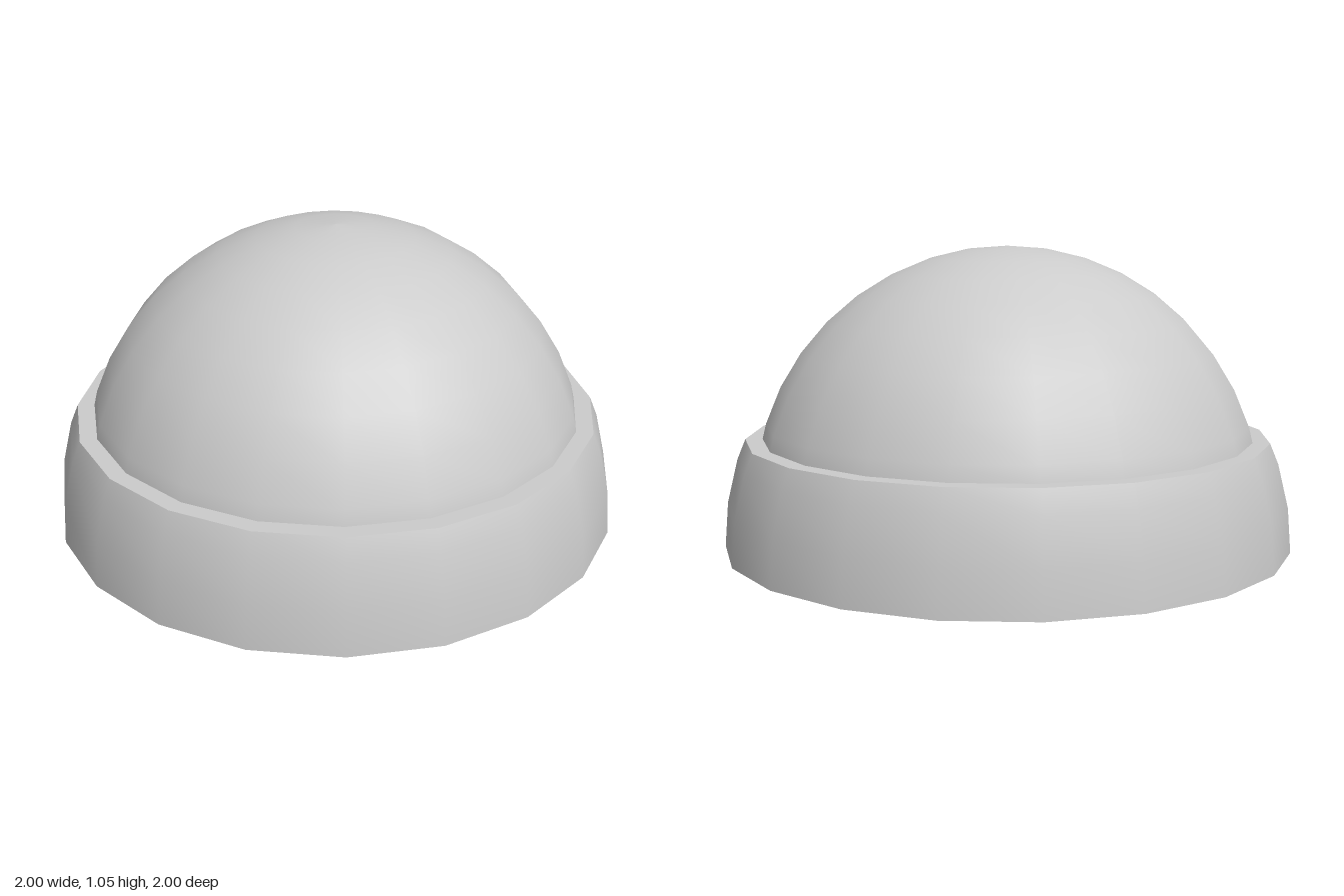
import * as THREE from 'three';

const SIDES = 20;
const STEP = Math.PI / 20;
const CUFF_TOP = 0.38;
const DOME_RIM = 0.862;

const material = new THREE.MeshStandardMaterial({ color: 0xcccccc, side: THREE.DoubleSide });

// Surface of revolution from [radius, height] pairs
function turned(name, profile) {
  const points = profile.map(([r, y]) => new THREE.Vector2(r, y));
  const mesh = new THREE.Mesh(new THREE.LatheGeometry(points, SIDES), material);
  mesh.name = name;
  return mesh;
}

// Point on a circular arc, angle measured from the top
const arcPoint = (radius, centreY, angle) =>
  [radius * Math.sin(angle), centreY + radius * Math.cos(angle)];

export function createModel() {
  const model = new THREE.Group();
  model.name = 'knitCap';

  // Rounded crown, open below
  const crown = [[DOME_RIM, CUFF_TOP]];
  for (let i = 8; i > 0; i--) crown.push(arcPoint(0.893, 0.157, i * STEP));
  crown.push([0, 1.05]);
  model.add(turned('crown', crown));

  // Folded cuff: each face turned separately to keep its edges sharp
  const cuff = new THREE.Group();
  cuff.name = 'cuff';
  const outer = [10, 9, 8].map((i) => arcPoint(1, 0, i * STEP));
  outer[0][1] = 0;
  outer.push([0.922, CUFF_TOP]);
  cuff.add(
    turned('cuffOuter', outer),
    turned('cuffLedge', [[0.922, CUFF_TOP], [DOME_RIM, CUFF_TOP]]),
    turned('cuffInner', [[DOME_RIM, CUFF_TOP], [0.87, 0]]),
    turned('cuffBottom', [[0.87, 0], [1, 0]]),
  );
  model.add(cuff);

  return model;
}
